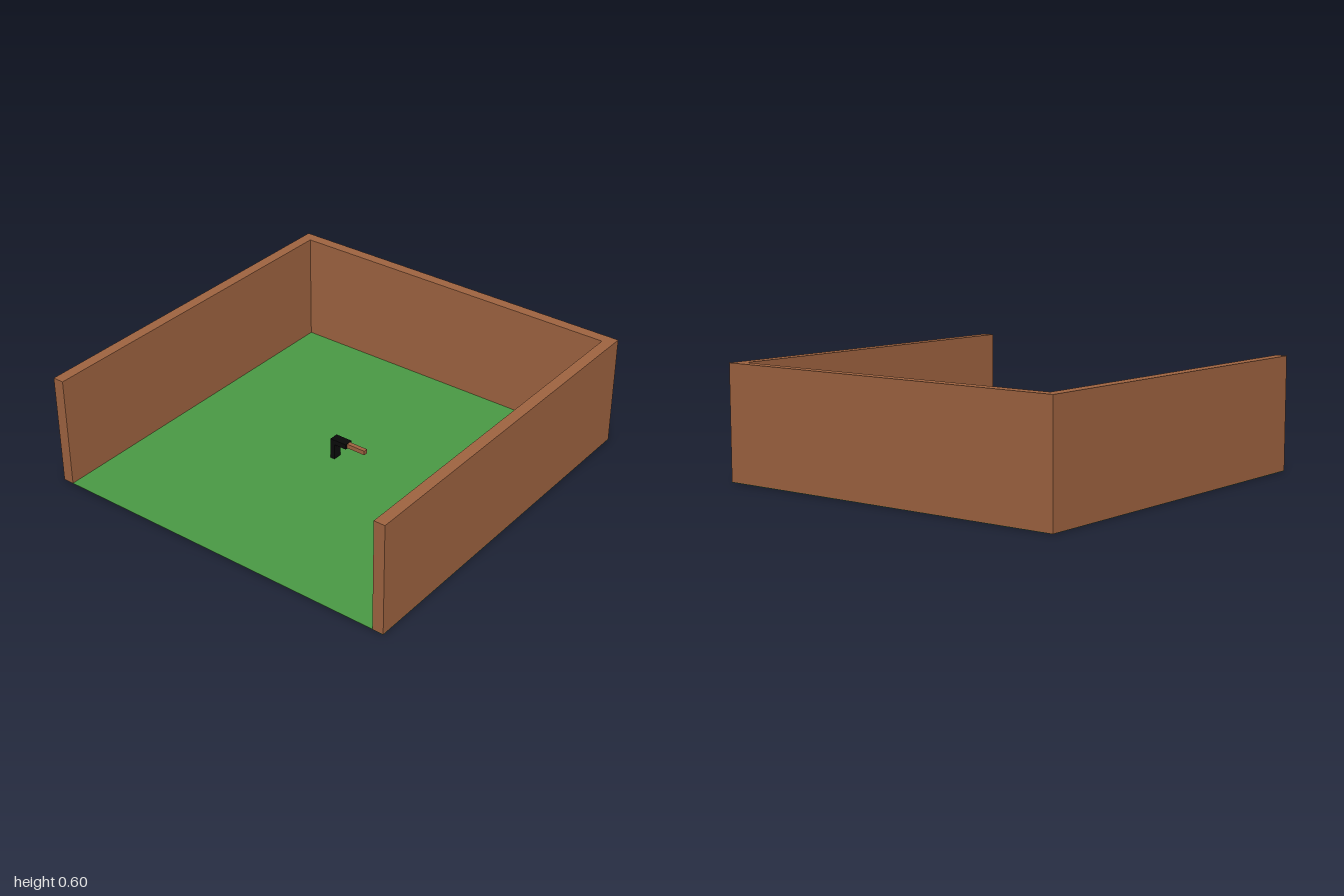
import * as THREE from 'three';

export function createModel() {
  const model = new THREE.Group();
  const brown = new THREE.MeshStandardMaterial({ color: 0xa06441 });
  const green = new THREE.MeshStandardMaterial({ color: 0x4b9b45 });
  const black = new THREE.MeshStandardMaterial({ color: 0x0a0a0a });
  brown.name = 'brick brown';
  green.name = 'grass green';
  black.name = 'black';

  // Adds a box given its lower and upper corners
  function box(name, material, min, max, parent = model) {
    const size = max.map((v, i) => v - min[i]);
    const mesh = new THREE.Mesh(new THREE.BoxGeometry(...size), material);
    mesh.position.set(...max.map((v, i) => (v + min[i]) / 2));
    mesh.name = name;
    parent.add(mesh);
  }

  // Thin ground slab, with the walls standing just above its underside
  box('ground', green, [-1, 0, -1], [1, 0.002, 1]);

  // Three walls, open at the front
  box('leftWall', brown, [0.94, 0.001, -1], [1, 0.6, 1]);
  box('rightWall', brown, [-1, 0.001, -1], [-0.94, 0.6, 1]);
  box('backWall', brown, [-0.94, 0.001, -1], [0.94, 0.6, -0.94]);

  // Small L-shaped tool in the middle, with a brown rod pointing to +x
  const tool = new THREE.Group();
  tool.name = 'tool';
  box('grip', black, [-0.05, 0.002, -0.025], [-0.025, 0.09, 0.025], tool);
  box('body', black, [-0.05, 0.09, -0.025], [0.047, 0.118, 0.025], tool);
  box('rod', brown, [0.047, 0.092, -0.012], [0.155, 0.116, 0.012], tool);
  model.add(tool);

  return model;
}
